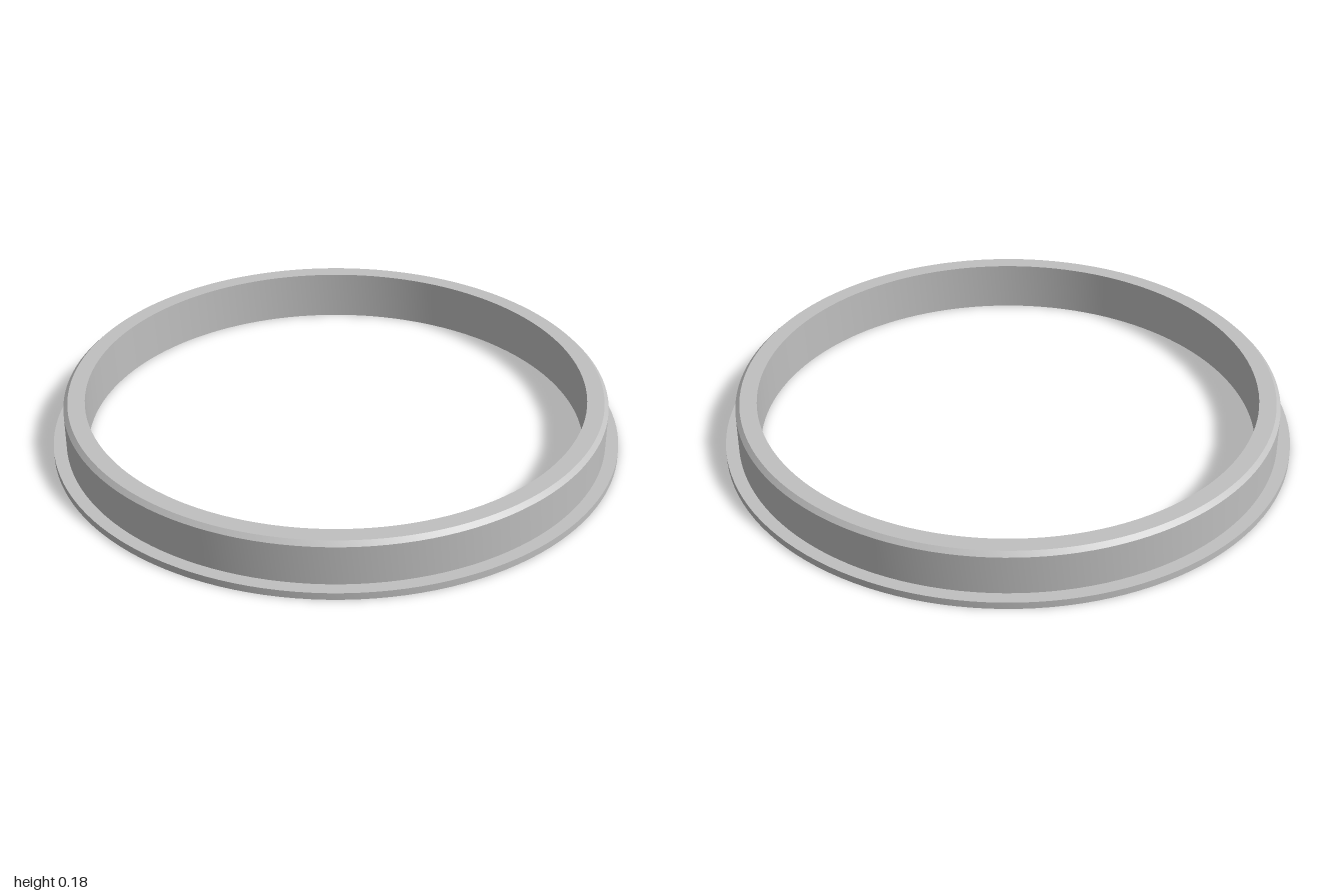
import * as THREE from 'three';
import { toCreasedNormals } from 'three/addons/utils/BufferGeometryUtils.js';

export function createModel() {
  const group = new THREE.Group();
  group.name = 'flangedRing';
  const grey = new THREE.MeshStandardMaterial({ color: 0xc0c0c0 });
  grey.name = 'plain grey';

  // Closed cross-section: underside, thin flange, wall, chamfer, rim, bore
  const profile = [
    [0.88, 0], [1, 0], [1, 0.025], [0.955, 0.025],
    [0.955, 0.165], [0.94, 0.18], [0.88, 0.18], [0.88, 0],
  ].map(([r, y]) => new THREE.Vector2(r, y));

  // Revolve it, keeping the profile corners sharp
  const geometry = toCreasedNormals(new THREE.LatheGeometry(profile, 128), Math.PI / 6);
  const ring = new THREE.Mesh(geometry, grey);
  ring.name = 'ring';
  group.add(ring);
  return group;
}
